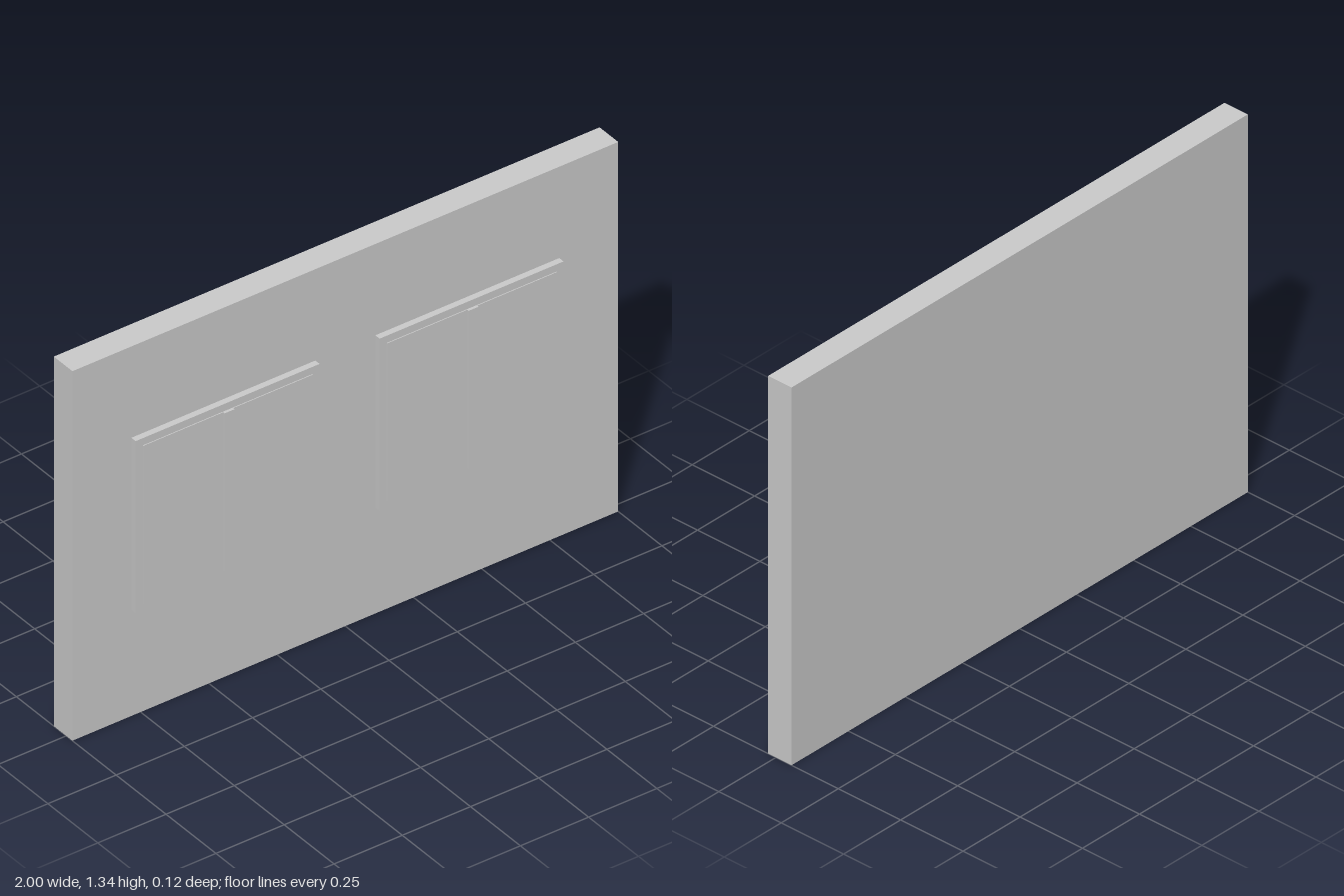
import * as THREE from 'three';

const material = new THREE.MeshStandardMaterial({ color: 0xcccccc, flatShading: true });

// Box placed by its centre in x and y and by its back and front in z
function slab(name, width, height, x, y, back, front) {
  const mesh = new THREE.Mesh(new THREE.BoxGeometry(width, height, front - back), material);
  mesh.name = name;
  mesh.position.set(x, y, (back + front) / 2);
  return mesh;
}

export function createModel() {
  const model = new THREE.Group();
  model.name = 'wallWithWindows';

  const wallFront = 0.031;
  const windowY = 0.694;
  model.add(slab('wall', 2, 1.335, 0, 0.6675, -0.0625, wallFront));

  // Two matching windows: frame, slightly proud pane, central mullion
  for (const side of [-1, 1]) {
    const win = new THREE.Group();
    win.name = side < 0 ? 'rightWindow' : 'leftWindow';
    win.position.set(side * 0.447, windowY, 0);
    win.add(
      slab('windowFrame', 0.674, 0.622, 0, 0, wallFront - 0.01, 0.0525),
      slab('windowPane', 0.622, 0.57, 0, 0, 0.045, 0.0555),
      slab('windowMullion', 0.036, 0.57, 0, 0, 0.05, 0.0625),
    );
    model.add(win);
  }
  return model;
}
